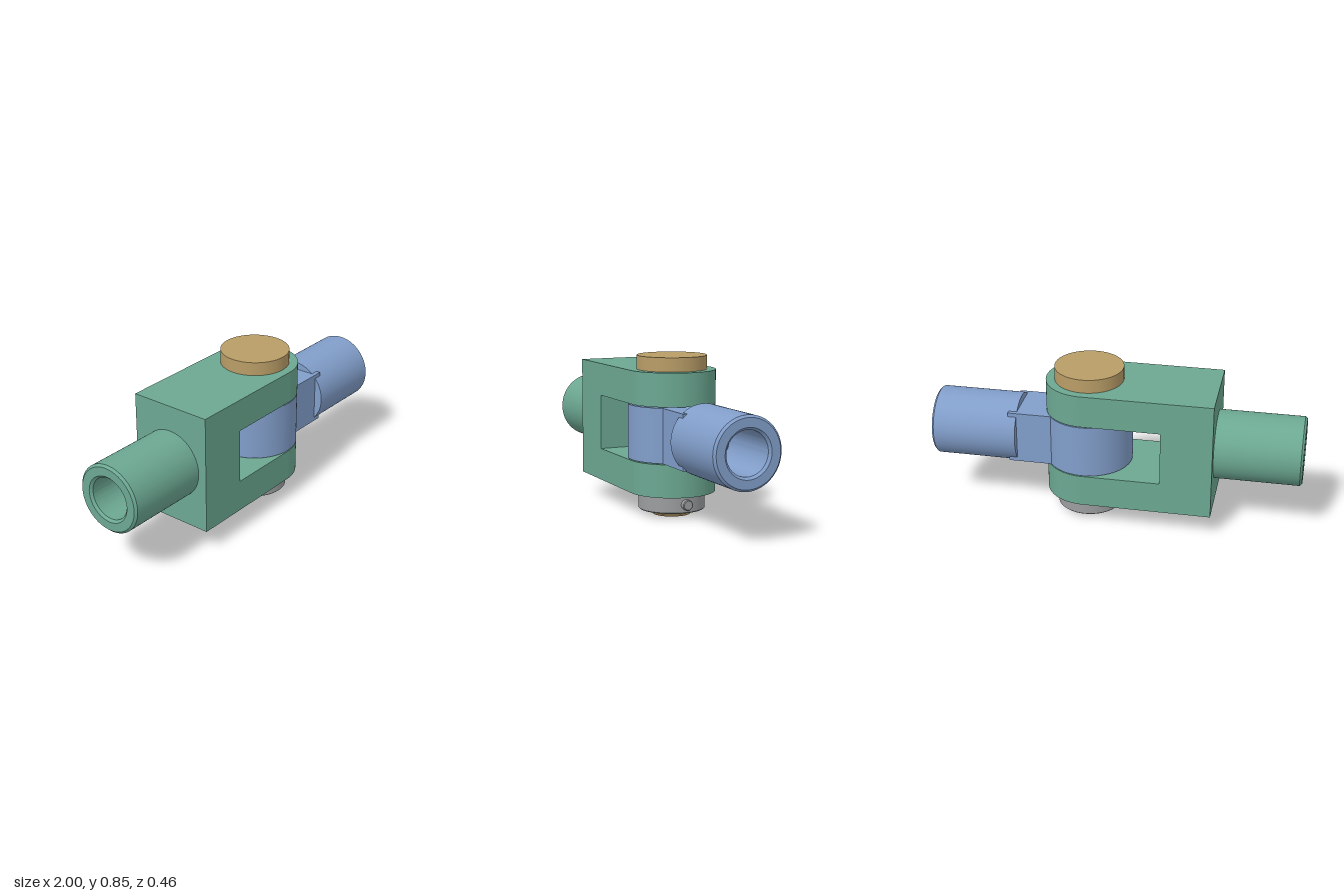
import * as THREE from 'three';
import { toCreasedNormals } from 'three/addons/utils/BufferGeometryUtils.js';

const AXIS_Y = 0.449;   // height of the shaft axis
const PIN_X = 0.16;     // position of the pivot axis
const R_END = 0.232;    // radius of the rounded ends

const material = (name, color) => {
  const m = new THREE.MeshStandardMaterial({ color });
  m.name = name;
  return m;
};

// Turned part: [radius, height] profile, smooth around and sharp at the edges
const turned = (profile, segments = 96) => toCreasedNormals(
  new THREE.LatheGeometry(profile.map(([r, y]) => new THREE.Vector2(r, y)), segments), 0.5);

export function createModel() {
  const green = material('fork green', 0x6ca892);
  const blue = material('eye blue', 0x819eca);
  const tan = material('pin tan', 0xb99d67);
  const grey = material('collar grey', 0x9b9d9f);

  const model = new THREE.Group();
  model.name = 'clevisJoint';
  const group = (name) => {
    const g = new THREE.Group();
    g.name = name;
    model.add(g);
    return g;
  };
  const add = (parent, name, geometry, mat, x = 0, y = 0, z = 0) => {
    const mesh = new THREE.Mesh(geometry, mat);
    mesh.name = name;
    mesh.position.set(x, y, z);
    parent.add(mesh);
    return mesh;
  };

  // Hollow shaft with chamfered rim and blind bore
  const L = 0.465;
  const shaft = turned([[0, 0], [0.185, 0], [0.185, L - 0.012], [0.173, L], [0.126, L],
    [0.113, L - 0.013], [0.113, 0.06], [0, 0.06]]);

  // Fork: C-shaped body, two half-round arm ends and a shaft
  const fork = group('fork');
  const c = new THREE.Shape([
    [-0.535, 0.125], [PIN_X, 0.125], [PIN_X, 0.3], [-0.26, 0.3],
    [-0.26, 0.598], [PIN_X, 0.598], [PIN_X, 0.774], [-0.535, 0.774],
  ].map(([x, y]) => new THREE.Vector2(x, y)));
  add(fork, 'forkBody', new THREE.ExtrudeGeometry(c, { depth: 2 * R_END, bevelEnabled: false }),
    green, 0, 0, -R_END);
  for (const [name, y0, y1] of [['lowerArmEnd', 0.125, 0.3], ['upperArmEnd', 0.598, 0.774]]) {
    add(fork, name, new THREE.CylinderGeometry(R_END, R_END, y1 - y0, 64, 1, false, 0, Math.PI),
      green, PIN_X, (y0 + y1) / 2);
  }
  add(fork, 'forkShaft', shaft, green, -0.535, AXIS_Y).rotation.z = Math.PI / 2;

  // Eye: round boss, neck block and a shaft
  const eye = group('eye');
  const eyeHeight = 0.288;
  add(eye, 'eyeBoss', new THREE.CylinderGeometry(R_END, R_END, eyeHeight, 96), blue, PIN_X, AXIS_Y);
  add(eye, 'eyeNeck', new THREE.BoxGeometry(0.28, eyeHeight, 0.278), blue, 0.44, AXIS_Y);
  add(eye, 'eyeShaft', shaft, blue, 0.535, AXIS_Y).rotation.z = -Math.PI / 2;

  // Pivot pin with flat head and chamfered tip
  const pin = group('pivotPin');
  add(pin, 'pin', turned([[0, 0], [0.1, 0], [0.116, 0.016], [0.116, 0.774],
    [0.185, 0.774], [0.185, 0.848], [0, 0.848]]), tan, PIN_X);

  // Retaining collar held by a cross pin
  const collar = group('collar');
  add(collar, 'collarRing', turned([[0.116, 0.03], [0.172, 0.03], [0.177, 0.035],
    [0.177, 0.125], [0.116, 0.125]]), grey, PIN_X);
  add(collar, 'crossPin', turned([[0, -0.205], [0.024, -0.205], [0.028, -0.201],
    [0.028, 0.201], [0.024, 0.205], [0, 0.205]], 32), grey, PIN_X, 0.077).rotation.z = -Math.PI / 2;

  return model;
}
